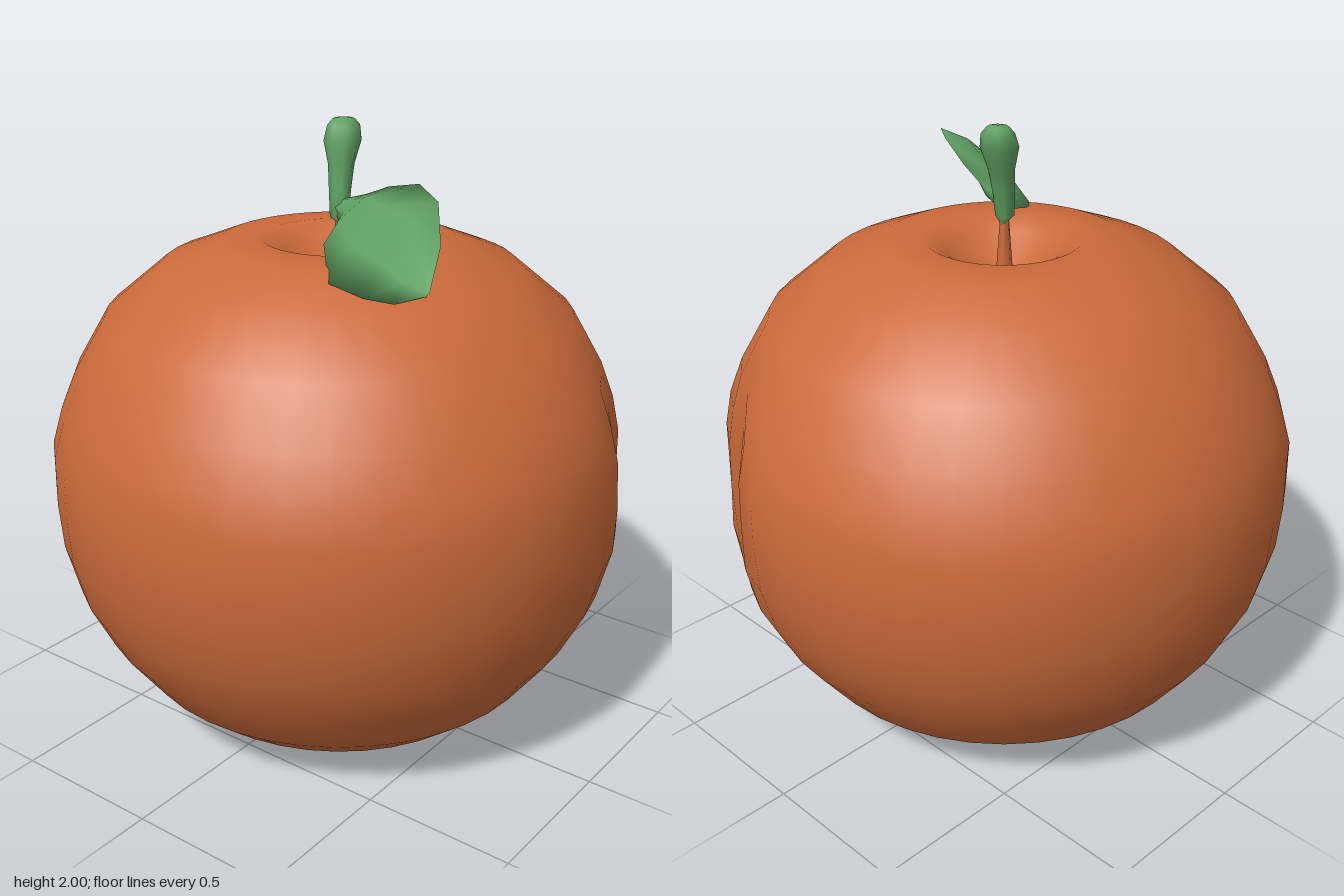
import * as THREE from 'three';
import { mergeVertices } from 'three/addons/utils/BufferGeometryUtils.js';

const V = (x, y, z) => new THREE.Vector3(x, y, z);

// Weld coincident points so the shading runs smoothly across seams
function smooth(geometry) {
  geometry.deleteAttribute('uv');
  geometry.deleteAttribute('normal');
  const welded = mergeVertices(geometry, 1e-4);
  welded.computeVertexNormals();
  return welded;
}

// Closed skin over equal-length rings of points
function loft(rings) {
  const n = rings[0].length, index = [];
  for (let i = 0; i < rings.length - 1; i++) {
    for (let j = 0; j < n; j++) {
      const a = i * n + j, b = i * n + (j + 1) % n;
      index.push(a, b, a + n, b, b + n, a + n);
    }
  }
  const g = new THREE.BufferGeometry().setFromPoints(rings.flat());
  g.setIndex(index);
  return smooth(g);
}

// Round fruit with a dimpled crown and shallow dents round the front left
function fruitGeometry() {
  const profile = [
    [0, 0.01], [0.3, 0.005], [0.46, 0.035], [0.58, 0.1], [0.69, 0.19], [0.81, 0.35], [0.885, 0.5],
    [0.93, 0.67], [0.942, 0.82], [0.94, 0.98], [0.905, 1.1], [0.855, 1.22], [0.75, 1.4],
    [0.57, 1.55], [0.38, 1.625], [0.25, 1.632], [0.18, 1.59], [0.1, 1.52], [0, 1.49],
  ].map(([r, y]) => new THREE.Vector2(r, y));
  const g = new THREE.LatheGeometry(profile, 40);
  // azimuth from the front, height, half width, half height, depth
  const dents = [
    [0.06, 0.92, 0.12, 0.12, 0.02],
    [0.45, 0.98, 0.13, 0.2, 0.05],
    [0.72, 0.88, 0.1, 0.14, 0.03],
    [1.08, 0.93, 0.16, 0.25, 0.085],
  ];
  const p = g.attributes.position;
  for (let i = 0; i < p.count; i++) {
    const x = p.getX(i), y = p.getY(i), z = p.getZ(i), az = Math.atan2(x, z);
    let k = 1;
    for (const [a, h, w, t, depth] of dents) {
      k -= depth * Math.exp(-(((az - a) / w) ** 2) - ((y - h) / t) ** 2);
    }
    p.setXYZ(i, x * k, y, z * k);
  }
  return smooth(g);
}

// Thick leaf tilted sideways: pairs of high-edge and low-edge points
function leafGeometry() {
  const sections = [
    [V(0.01, 1.75, 0.0), V(-0.02, 1.71, 0.0), 0.02],
    [V(0.0, 1.78, 0.1), V(-0.08, 1.69, 0.06), 0.02],
    [V(-0.02, 1.82, 0.2), V(-0.2, 1.66, 0.09), 0.025],
    [V(-0.09, 1.86, 0.36), V(-0.37, 1.6, 0.24), 0.03],
    [V(-0.2, 1.845, 0.5), V(-0.46, 1.61, 0.43), 0.03],
    [V(-0.35, 1.765, 0.61), V(-0.48, 1.62, 0.55), 0.02],
    [V(-0.475, 1.67, 0.66), V(-0.48, 1.66, 0.655), 0.002],
  ];
  const along = V(-0.5, -0.05, 0.6);
  return loft(sections.map(([high, low, bulge]) => {
    const up = low.clone().sub(high).cross(along).normalize();
    const at = (t, h) => high.clone().lerp(low, t).addScaledVector(up, h * bulge);
    return [high, at(0.3, 1), at(0.7, 1), low, at(0.7, -0.8), at(0.3, -0.8)];
  }));
}

// Leaning stalk, narrow at the neck and wide at the cut end
function stalkGeometry() {
  const stops = [
    [0, 1.67, 0.005, 0.004], [-0.01, 1.7, 0.005, 0.03], [0, 1.78, 0.0, 0.035],
    [0.02, 1.86, -0.01, 0.042], [0.033, 1.93, -0.015, 0.06],
    [0.045, 1.975, -0.02, 0.052], [0.045, 1.995, -0.02, 0.035], [0.045, 2, -0.02, 0.001],
  ];
  return loft(stops.map(([x, y, z, r]) => Array.from({ length: 8 }, (_, j) => {
    const a = j / 8 * Math.PI * 2;
    return V(x + r * Math.sin(a), y, z + r * Math.cos(a));
  })));
}

export function createModel() {
  const model = new THREE.Group();
  model.name = 'fruit';
  const orange = new THREE.MeshStandardMaterial({ color: 0xcb6a3a });
  orange.name = 'orange peel';
  const green = new THREE.MeshStandardMaterial({ color: 0x60a163 });
  green.name = 'leaf green';

  const add = (name, geometry, material) => {
    const mesh = new THREE.Mesh(geometry, material);
    mesh.name = name;
    model.add(mesh);
    return mesh;
  };
  add('body', fruitGeometry(), orange);
  // Thin peel-coloured root rising out of the dimple
  add('stalkRoot', new THREE.CylinderGeometry(0.014, 0.03, 0.22, 6), orange).position.set(-0.008, 1.59, 0.005);
  add('stalk', stalkGeometry(), green);
  add('leaf', leafGeometry(), green);
  return model;
}
